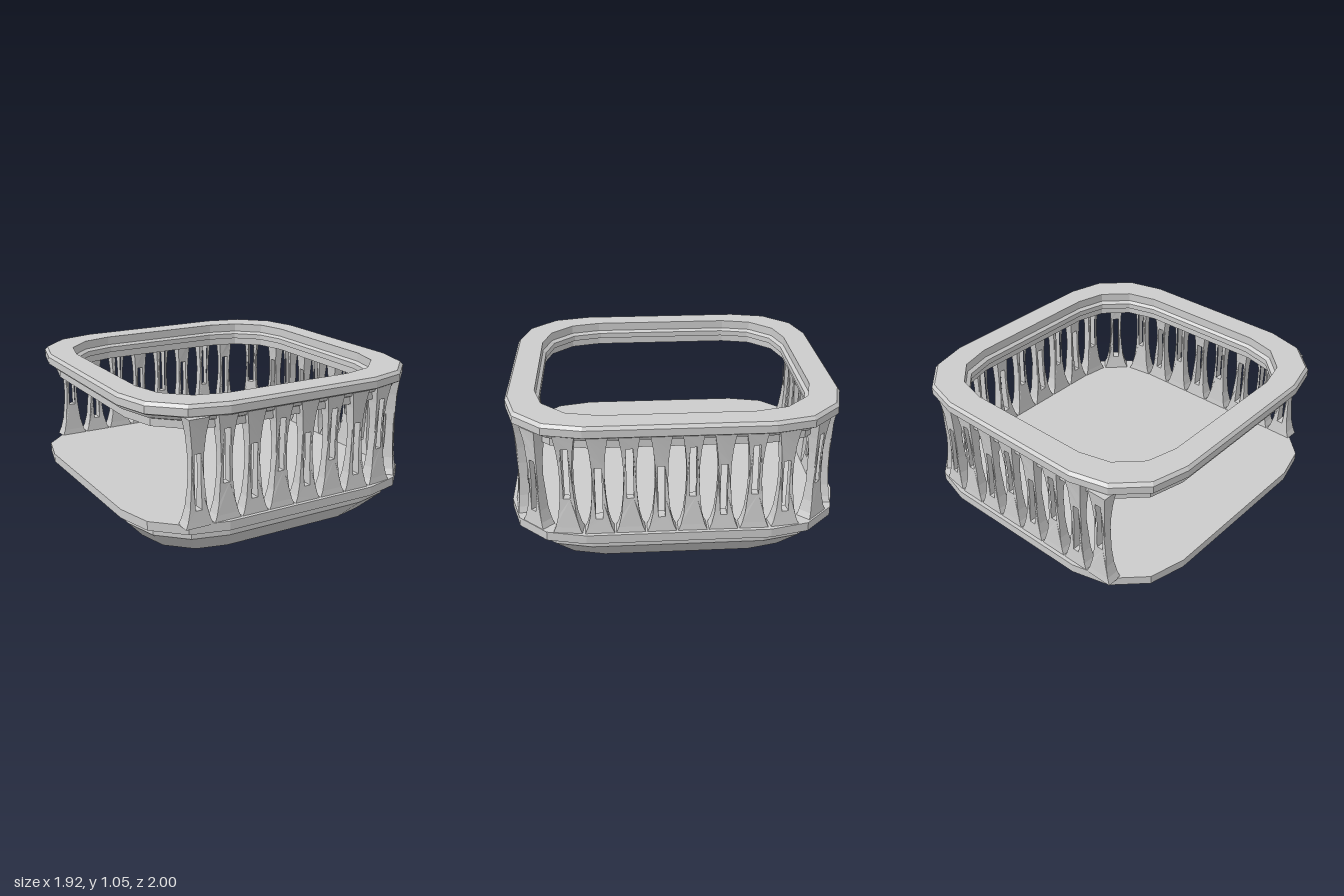
import * as THREE from 'three';

const grey = new THREE.MeshStandardMaterial({ color: 0xcccccc, flatShading: true });

// Rounded-square outline, one corner mirrored to four
const CORNER = [[1, 0.54], [0.94, 0.77], [0.76, 0.94], [0.52, 1]];
const flip = (sx, sz) => CORNER.map(([x, z]) => [x * sx, z * sz]);
const OUTLINE = [
  ...flip(1, 1), ...flip(-1, 1).reverse(),
  ...flip(-1, -1), ...flip(1, -1).reverse(),
];

// Joins scaled outlines; each ring is [half x, half z, y]
function loft(name, rings) {
  const pos = [];
  const n = OUTLINE.length;
  const point = ([hx, hz, y], j) => {
    const [x, z] = OUTLINE[j % n];
    return [x * hx, y, z * hz];
  };
  for (let i = 0; i < rings.length - 1; i++) {
    for (let j = 0; j < n; j++) {
      const a = point(rings[i], j), b = point(rings[i], j + 1);
      const c = point(rings[i + 1], j + 1), d = point(rings[i + 1], j);
      if (rings[i + 1][0] > 0) pos.push(...a, ...d, ...c);
      if (rings[i][0] > 0) pos.push(...a, ...c, ...b);
    }
  }
  const geo = new THREE.BufferGeometry();
  geo.setAttribute('position', new THREE.Float32BufferAttribute(pos, 3));
  geo.computeVertexNormals();
  const mesh = new THREE.Mesh(geo, grey);
  mesh.name = name;
  return mesh;
}

// Waisted baluster with a slot, flaring in width and depth at both ends
const WAIST = [
  [0.36, 0.087], [0.4, 0.07], [0.47, 0.053], [0.58, 0.042], [0.68, 0.037],
  [0.78, 0.038], [0.88, 0.046], [0.94, 0.055], [0.985, 0.063],
];
function balusterGeometry(slotBottom, slotTop) {
  const side = WAIST.map(([y, w]) => new THREE.Vector2(w, y));
  const mirrored = (pts) => pts.map((p) => new THREE.Vector2(-p.x, p.y)).reverse();
  const shape = new THREE.Shape([...side, ...mirrored(side)]);
  const ys = [slotBottom, ...WAIST.map((p) => p[0]).filter((y) => y > slotBottom && y < slotTop), slotTop];
  const slot = ys.map((y) => new THREE.Vector2(0.02, y));
  shape.holes.push(new THREE.Path([...slot, ...mirrored(slot)]));
  const geo = new THREE.ExtrudeGeometry(shape, { depth: 1, bevelEnabled: false });
  const p = geo.attributes.position;
  for (let i = 0; i < p.count; i++) {
    const t = (p.getY(i) - 0.67) / 0.31;
    p.setZ(i, (p.getZ(i) - 0.5) * 2 * (0.023 + 0.024 * t * t));
  }
  geo.computeVertexNormals();
  return geo;
}

export function createModel() {
  const model = new THREE.Group();
  model.name = 'balcony';

  // Tapered underside
  model.add(loft('taperedBase', [
    [0, 0, 0], [0.41, 0.43, 0], [0.78, 0.81, 0.118], [0.9, 0.94, 0.25], [0.9, 0.94, 0.312],
  ]));

  // Floor slab
  model.add(loft('floorSlab', [
    [0, 0, 0.31], [0.96, 1, 0.31], [0.96, 1, 0.365], [0, 0, 0.365],
  ]));

  // Handrail with stepped moulding below
  model.add(loft('handrail', [
    [0.8, 0.83, 0.9], [0.9, 0.94, 0.9], [0.9, 0.94, 0.945], [0.92, 0.96, 0.955],
    [0.93, 0.97, 0.975], [0.945, 0.985, 0.98], [0.96, 1, 0.99], [0.96, 1, 1.035],
    [0.945, 0.985, 1.055], [0.8, 0.83, 1.055], [0.8, 0.83, 1.0], [0.78, 0.81, 0.985],
    [0.78, 0.81, 0.95], [0.8, 0.83, 0.945], [0.8, 0.83, 0.9],
  ]));

  // Balusters on three sides; the -x side stays open
  const places = [];
  for (let k = 0; k < 8; k++) {
    const end = k === 7;
    places.push([-0.68 + 0.181 * k, end ? 0.915 : 0.93, end ? 0.13 : 0]);
  }
  places.push([0.78, 0.82, Math.PI / 4]);
  for (let k = 0; k < 8; k++) {
    const turn = k === 0 ? -0.13 : k === 7 ? 0.13 : 0;
    places.push([turn ? 0.875 : 0.89, 0.64 - 0.18 * k, Math.PI / 2 + turn]);
  }
  places.push([0.78, -0.81, Math.PI * 0.75]);
  for (let k = 7; k >= 0; k--) {
    const end = k === 7;
    places.push([-0.68 + 0.181 * k, end ? -0.915 : -0.93, Math.PI - (end ? 0.13 : 0)]);
  }

  // Slots alternate low and high along the row
  const kinds = [balusterGeometry(0.455, 0.78), balusterGeometry(0.58, 0.9)];
  const balusters = new THREE.Group();
  balusters.name = 'balusters';
  places.forEach(([x, z, angle], i) => {
    const mesh = new THREE.Mesh(kinds[i % 2], grey);
    mesh.name = 'baluster';
    mesh.position.set(x, 0, z);
    mesh.rotation.y = angle;
    balusters.add(mesh);
  });
  model.add(balusters);

  return model;
}
